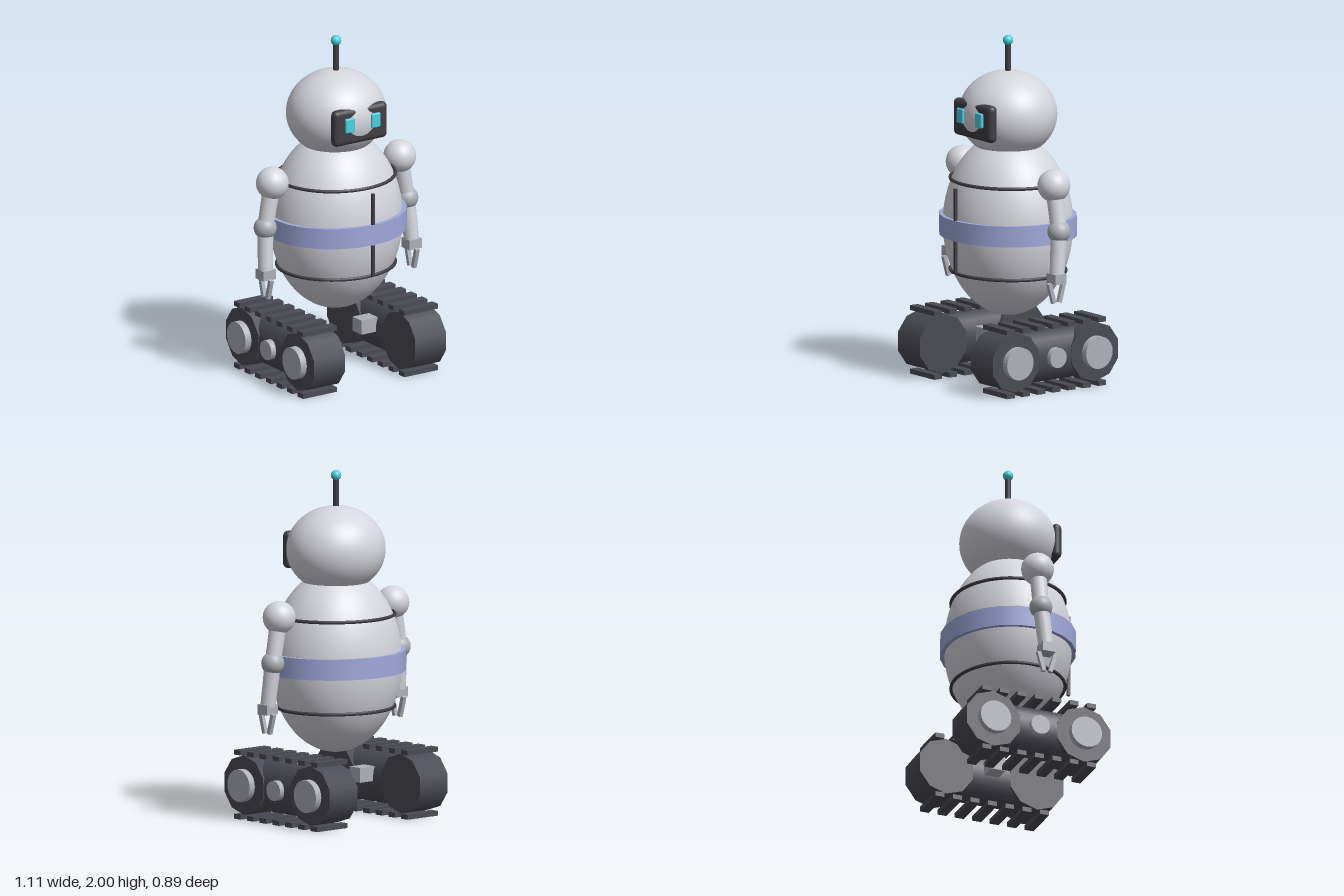
import * as THREE from 'three';
import { RoundedBoxGeometry } from 'three/addons/geometries/RoundedBoxGeometry.js';

export function createModel() {
  const root = new THREE.Group();
  root.name = 'robot';
  const paint = (name, color) => {
    const m = new THREE.MeshStandardMaterial({ color });
    m.name = name;
    return m;
  };
  const shell = paint('shell grey', 0xd5d5de);
  const metal = paint('joint grey', 0xaeb0b8);
  const dark = paint('dark trim', 0x3e3e44);
  const rubber = paint('track rubber', 0x4a4a54);
  const blue = paint('band blue', 0x9fa8da);
  const cyan = paint('glow cyan', 0x4dd0e1);

  const add = (parent, name, geo, mat, x = 0, y = 0, z = 0) => {
    const m = new THREE.Mesh(geo, mat);
    m.name = name;
    m.position.set(x, y, z);
    parent.add(m);
    return m;
  };
  const ball = (r) => new THREE.SphereGeometry(r, 32, 20);
  // Tapered rod between two points
  const rod = (parent, name, a, b, ra, rb, mat) => {
    const p = new THREE.Vector3(...a), q = new THREE.Vector3(...b);
    const d = q.clone().sub(p);
    const m = add(parent, name, new THREE.CylinderGeometry(rb, ra, d.length(), 20), mat);
    m.position.copy(p).addScaledVector(d, 0.5);
    m.quaternion.setFromUnitVectors(new THREE.Vector3(0, 1, 0), d.normalize());
    return m;
  };

  // Egg-shaped body with waist band and panel seams
  const depth = 0.93;
  add(root, 'body', new THREE.SphereGeometry(1, 48, 32), shell, 0, 0.905, 0).scale.set(0.39, 0.526, 0.362);
  add(root, 'waistBand', new THREE.CylinderGeometry(0.413, 0.413, 0.12, 24), blue, 0, 0.905, 0).scale.z = depth;
  for (const y of [1.17, 0.64]) {
    const seam = add(root, 'bodySeam', new THREE.TorusGeometry(0.346, 0.01, 8, 48), dark, 0, y, 0);
    seam.rotation.x = Math.PI / 2;
    seam.scale.y = depth;
  }
  add(root, 'frontSeam', new THREE.BoxGeometry(0.016, 0.495, 0.016), dark, 0, 0.903, 0.373);

  // Head, mask, eyes and antenna
  const head = new THREE.Group();
  head.name = 'head';
  root.add(head);
  add(head, 'skull', new THREE.SphereGeometry(1, 48, 32), shell, 0, 1.545, 0).scale.set(0.29, 0.25, 0.276);
  add(head, 'faceMask', new RoundedBoxGeometry(0.37, 0.215, 0.06, 4, 0.03), dark, 0, 1.532, 0.232);
  for (const s of [-1, 1])
    add(head, 'eye', new RoundedBoxGeometry(0.062, 0.086, 0.02, 3, 0.008), cyan, s * 0.089, 1.548, 0.27);
  add(head, 'antennaRod', new THREE.CylinderGeometry(0.017, 0.017, 0.19, 16), dark, 0, 1.86, 0);
  add(head, 'antennaTip', ball(0.03), cyan, 0, 1.97, 0);

  for (const s of [-1, 1]) {
    // Arm
    const arm = new THREE.Group();
    arm.name = s > 0 ? 'leftArm' : 'rightArm';
    root.add(arm);
    const shoulder = [s * 0.439, 1.195, 0], elbow = [s * 0.488, 0.936, 0], wrist = [s * 0.503, 0.69, 0.025];
    add(arm, 'shoulder', ball(0.094), shell, ...shoulder);
    rod(arm, 'upperArm', shoulder, elbow, 0.05, 0.046, shell);
    add(arm, 'elbow', ball(0.066), metal, ...elbow);
    rod(arm, 'forearm', elbow, wrist, 0.047, 0.043, shell);
    add(arm, 'hand', new THREE.BoxGeometry(0.085, 0.058, 0.08), metal, s * 0.503, 0.67, 0.028);
    for (const f of [-1, 1]) {
      const finger = add(arm, 'finger', new THREE.BoxGeometry(0.024, 0.12, 0.024), metal, s * 0.503, 0.587, 0.03 + f * 0.035);
      finger.rotation.x = f * 0.27;
    }

    // Track unit
    const track = new THREE.Group();
    track.name = s > 0 ? 'leftTrack' : 'rightTrack';
    root.add(track);
    const cx = s * 0.349;
    const core = add(track, 'trackCore', new THREE.CylinderGeometry(0.15, 0.15, 0.56, 24), rubber, cx, 0.2, 0);
    core.rotation.x = Math.PI / 2;
    core.scale.x = 0.7;
    // Cylinder lying along x
    const disc = (name, r, w, n, mat, x, z) => {
      const g = new THREE.CylinderGeometry(r, r, w, n);
      g.rotateZ(Math.PI / 2);
      return add(track, name, g, mat, x, 0.2, z);
    };
    for (const z of [-0.28, 0.28]) {
      const wheel = disc('wheel', 0.172, 0.214, 10, rubber, cx, z);
      wheel.rotation.x = Math.PI / 2;
      disc('wheelHub', 0.094, 0.06, 24, metal, s * 0.467, z);
    }
    disc('centreHub', 0.058, 0.12, 20, metal, s * 0.425, 0);
    add(track, 'axleBlock', new THREE.BoxGeometry(0.13, 0.085, 0.09), metal, s * 0.21, 0.23, 0);
    for (let i = -3; i <= 3; i++)
      for (const y of [0.014, 0.383])
        add(track, 'treadPlate', new THREE.BoxGeometry(0.233, 0.028, 0.055), rubber, cx, y, i * 0.1075);
  }
  return root;
}
